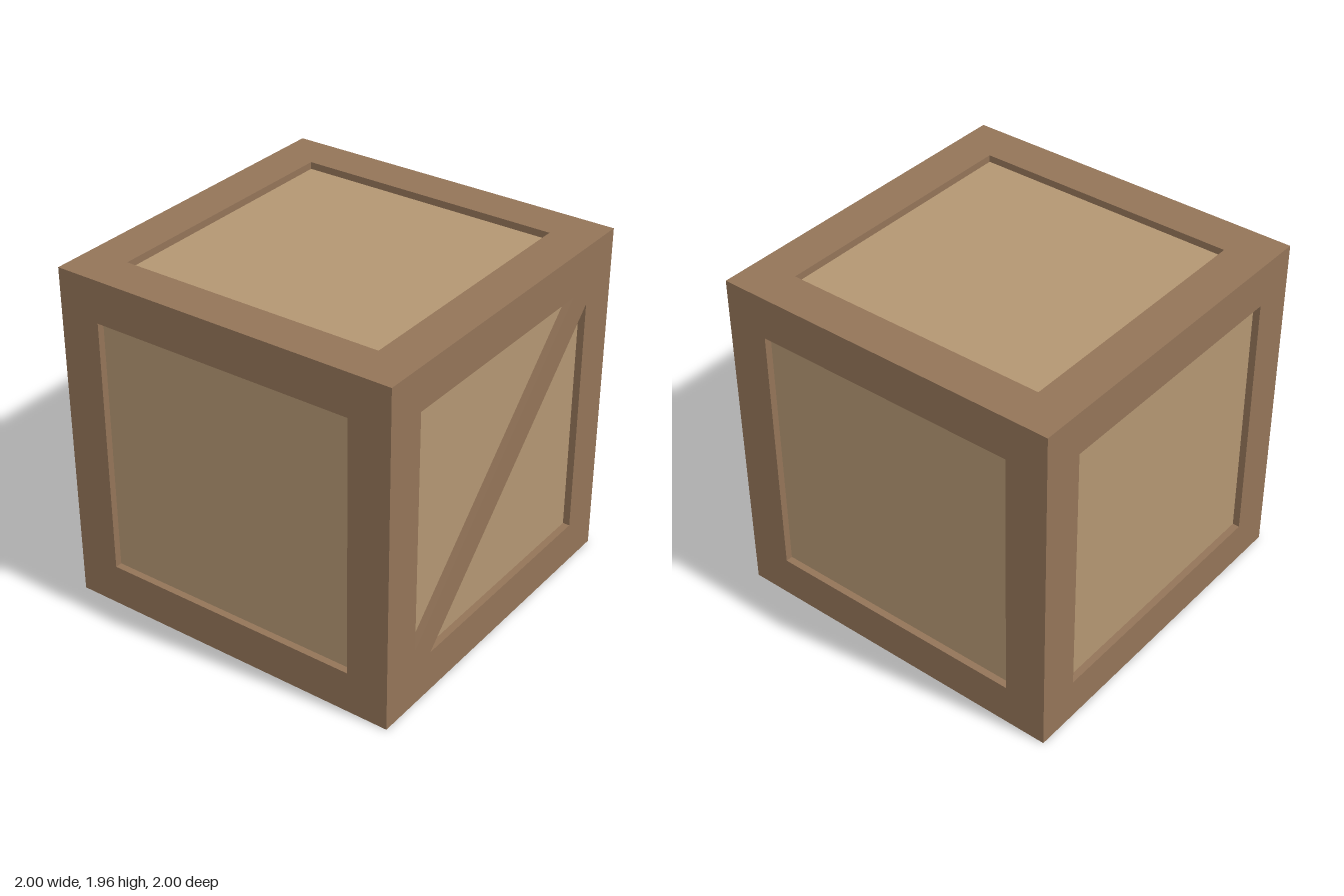
import * as THREE from 'three';
import { mergeGeometries } from 'three/addons/utils/BufferGeometryUtils.js';

const WIDTH = 2, HEIGHT = 1.955, BORDER = 0.24, RECESS = 0.04;

const frameWood = new THREE.MeshStandardMaterial({ color: 0x937458 });
frameWood.name = 'frameWood';
const panelWood = new THREE.MeshStandardMaterial({ color: 0xb39672 });
panelWood.name = 'panelWood';

// Corners of a centred rectangle, counter-clockwise seen from +z
function rectangle(w, h, z) {
  return [[-1, -1], [1, -1], [1, 1], [-1, 1]].map(([x, y]) => [x * w / 2, y * h / 2, z]);
}

// One side of the frame: a flat border plus the walls of its recess
function borderGeometry(w, h, z) {
  const iw = w - 2 * BORDER, ih = h - 2 * BORDER;
  const loops = [rectangle(w, h, z), rectangle(iw, ih, z), rectangle(iw, ih, z - RECESS)];
  const positions = [];
  for (let k = 0; k < 2; k++) {
    for (let i = 0; i < 4; i++) {
      const j = (i + 1) % 4;
      const a = loops[k][i], b = loops[k][j], c = loops[k + 1][j], d = loops[k + 1][i];
      positions.push(...a, ...b, ...c, ...a, ...c, ...d);
    }
  }
  const geometry = new THREE.BufferGeometry();
  geometry.setAttribute('position', new THREE.Float32BufferAttribute(positions, 3));
  geometry.computeVertexNormals();
  return geometry;
}

function addMesh(group, name, geometry, material) {
  const mesh = new THREE.Mesh(geometry, material);
  mesh.name = name;
  group.add(mesh);
  return mesh;
}

export function createModel() {
  const crate = new THREE.Group();
  crate.name = 'crate';
  const half = WIDTH / 2, middle = HEIGHT / 2;

  // Each side: name, face height, distance from the centre, turn about x, turn about y
  const sides = [
    ['front', HEIGHT, half, 0, 0],
    ['left', HEIGHT, half, 0, Math.PI / 2],
    ['back', HEIGHT, half, 0, Math.PI],
    ['right', HEIGHT, half, 0, -Math.PI / 2],
    ['top', WIDTH, middle, -Math.PI / 2, 0],
    ['bottom', WIDTH, middle, Math.PI / 2, 0],
  ];
  const borders = [];
  for (const [name, h, distance, rx, ry] of sides) {
    const place = (g) => g.rotateX(rx).rotateY(ry).translate(0, middle, 0);
    borders.push(place(borderGeometry(WIDTH, h, distance)));

    // Recessed panel
    const panel = new THREE.PlaneGeometry(WIDTH - 2 * BORDER, h - 2 * BORDER);
    panel.translate(0, 0, distance - RECESS);
    addMesh(crate, name + 'Panel', place(panel), panelWood);
  }
  addMesh(crate, 'frame', mergeGeometries(borders), frameWood);

  // Diagonal brace across the front, trimmed to the opening
  const x = half - BORDER, low = BORDER, high = HEIGHT - BORDER;
  const outline = [
    [-x, low], [-0.62, low], [x, high - 0.097],
    [x, high], [0.62, high], [-x, low + 0.097],
  ].map(([px, py]) => new THREE.Vector2(px, py));
  const brace = new THREE.ExtrudeGeometry(new THREE.Shape(outline), { depth: RECESS, bevelEnabled: false });
  addMesh(crate, 'frontBrace', brace, frameWood).position.z = half - RECESS;

  return crate;
}
